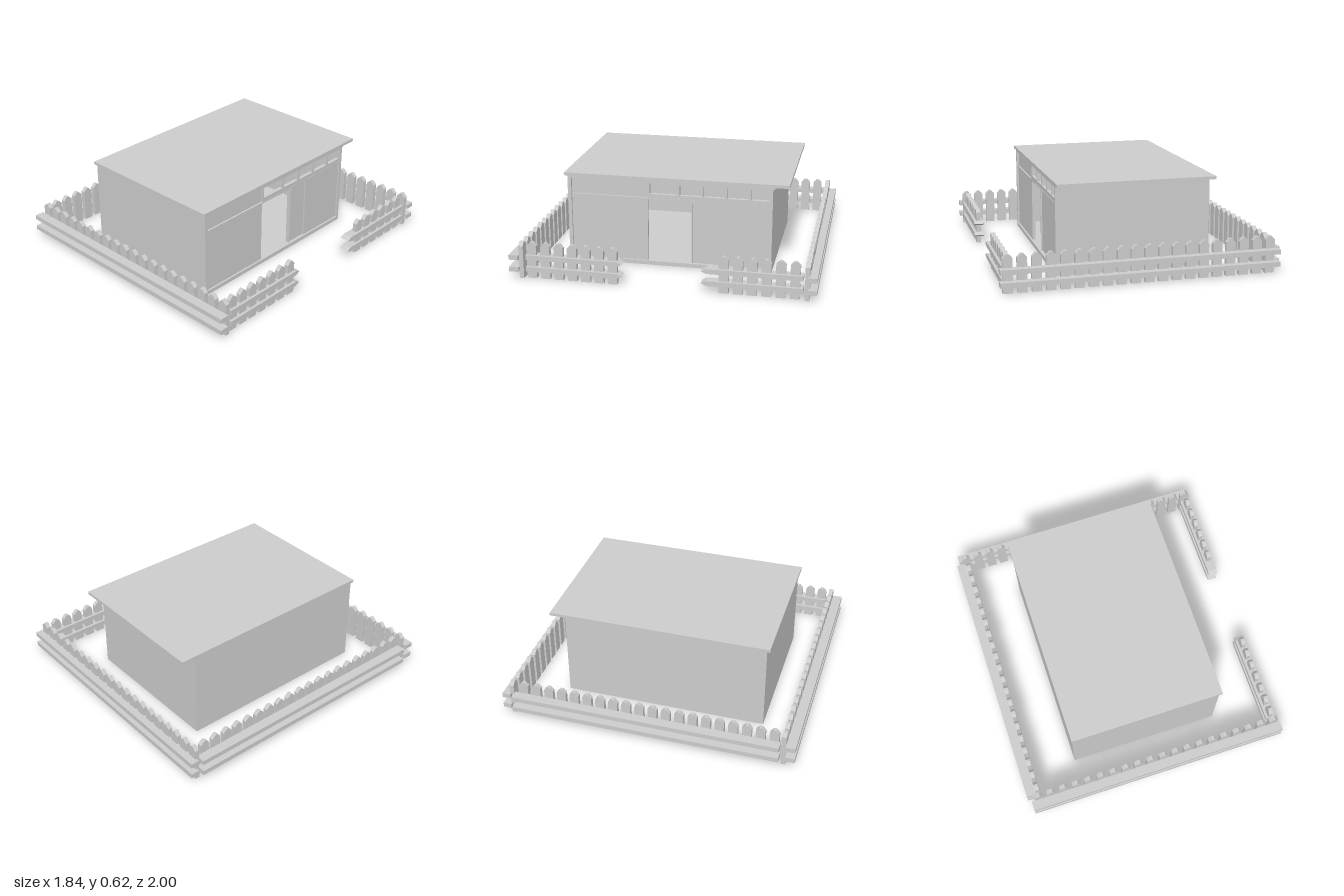
import * as THREE from 'three';

export function createModel() {
  const model = new THREE.Group();
  model.name = 'fencedShed';
  const grey = new THREE.MeshStandardMaterial({ color: 0xcccccc });
  grey.name = 'plainGrey';

  // Box given by its limits on each axis
  function box(parent, name, [x0, x1], [y0, y1], [z0, z1]) {
    const mesh = new THREE.Mesh(new THREE.BoxGeometry(x1 - x0, y1 - y0, z1 - z0), grey);
    mesh.position.set((x0 + x1) / 2, (y0 + y1) / 2, (z0 + z1) / 2);
    mesh.name = name;
    parent.add(mesh);
    return mesh;
  }

  // Flat outline extruded along z, centred on its thickness
  function plate(points, depth) {
    const shape = new THREE.Shape(points.map(([x, y]) => new THREE.Vector2(x, y)));
    const geo = new THREE.ExtrudeGeometry(shape, { depth, bevelEnabled: false });
    geo.translate(0, 0, -depth / 2);
    return geo;
  }

  // ---- Shed ----
  const shed = new THREE.Group();
  shed.name = 'shed';
  model.add(shed);
  box(shed, 'roof', [-0.535, 0.519], [0.6, 0.62], [-0.774, 0.735]);
  box(shed, 'floor', [-0.53, 0.508], [0, 0.027], [-0.667, 0.715]);
  box(shed, 'frontWall', [-0.53, 0.508], [0.027, 0.6], [0.69, 0.715]);
  box(shed, 'backWall', [-0.53, 0.508], [0.027, 0.6], [-0.667, -0.647]);
  box(shed, 'leftWall', [-0.53, -0.51], [0.027, 0.6], [-0.647, 0.69]);

  // Entrance side: wall panels, slid-open door and rails
  box(shed, 'entranceWallFront', [0.475, 0.495], [0.027, 0.467], [0.167, 0.69]);
  box(shed, 'entranceWallBack', [0.475, 0.495], [0.027, 0.467], [-0.647, -0.286]);
  box(shed, 'slidingDoor', [0.465, 0.485], [0.027, 0.467], [-0.286, -0.128]);
  box(shed, 'doorEdge', [0.465, 0.495], [0.027, 0.45], [-0.137, -0.128]);
  box(shed, 'doorHeadRail', [0.47, 0.502], [0.463, 0.473], [-0.647, 0.69]);
  box(shed, 'eavesBeam', [0.475, 0.508], [0.583, 0.6], [-0.68, 0.69]);
  box(shed, 'upperPanel', [0.475, 0.49], [0.473, 0.583], [0.167, 0.69]);

  // Strip of open windows; outline drawn in (z, y) and turned to face +x
  const strip = new THREE.Shape([[-0.647, 0.473], [0.167, 0.473], [0.167, 0.59], [-0.647, 0.59]]
    .map(([z, y]) => new THREE.Vector2(-z, y)));
  const panes = [[-0.035, 0.153], [-0.195, -0.05], [-0.352, -0.209], [-0.508, -0.367], [-0.646, -0.523]];
  for (const [z0, z1] of panes) {
    strip.holes.push(new THREE.Path([[z0, 0.5], [z0, 0.573], [z1, 0.573], [z1, 0.5]]
      .map(([z, y]) => new THREE.Vector2(-z, y))));
  }
  const stripGeo = new THREE.ExtrudeGeometry(strip, { depth: 0.025, bevelEnabled: false });
  const windows = new THREE.Mesh(stripGeo, grey);
  windows.name = 'windowStrip';
  windows.rotation.y = Math.PI / 2;
  windows.position.x = 0.475;
  shed.add(windows);

  // ---- Fence ----
  const picketGeo = plate(
    [[-0.031, 0], [0.031, 0], [0.031, 0.222], [0.008, 0.246], [-0.008, 0.246], [-0.031, 0.222]], 0.03);
  const railHeights = [0.065, 0.147];
  const step = 0.0902;

  function fence(name) {
    const group = new THREE.Group();
    group.name = name;
    model.add(group);
    return group;
  }

  function picket(parent, x, z, turned) {
    const mesh = new THREE.Mesh(picketGeo, grey);
    mesh.name = 'picket';
    mesh.position.set(x, 0, z);
    if (turned) mesh.rotation.y = Math.PI / 2;
    parent.add(mesh);
  }

  const front = fence('frontFence');
  const back = fence('backFence');
  const left = fence('leftFence');
  for (let i = 0; i < 20; i++) {
    picket(front, -0.847 + i * step, 0.921, false);
    picket(back, -0.847 + i * step, -0.938, false);
    picket(left, -0.845, -0.86 + i * step, true);
  }
  for (const y of railHeights) {
    const span = [y - 0.016, y + 0.016];
    box(front, 'rail', [-0.902, 0.919], span, [0.936, 1]);
    box(back, 'rail', [-0.902, 0.919], span, [-1, -0.943]);
    box(left, 'rail', [-0.925, -0.86], span, [-0.925, 0.897]);
  }

  // Gate side: two short runs whose rails end in points
  function gateRun(name, zTip, zEnd, zFirst, count) {
    const run = fence(name);
    const dir = Math.sign(zEnd - zTip);
    for (let i = 0; i < count; i++) picket(run, 0.867, zFirst + dir * i * step, true);
    const length = Math.abs(zEnd - zTip);
    const geo = plate([[0, 0], [0.033, -0.016], [length, -0.016], [length, 0.016], [0.033, 0.016]], 0.066);
    for (const y of railHeights) {
      const rail = new THREE.Mesh(geo, grey);
      rail.name = 'pointedRail';
      rail.rotation.y = -dir * Math.PI / 2;
      rail.position.set(0.867, y, zTip);
      run.add(rail);
    }
  }
  gateRun('rightFenceFront', 0.246, 0.89, 0.312, 7);
  gateRun('rightFenceBack', -0.268, -0.912, -0.41, 6);

  return model;
}
